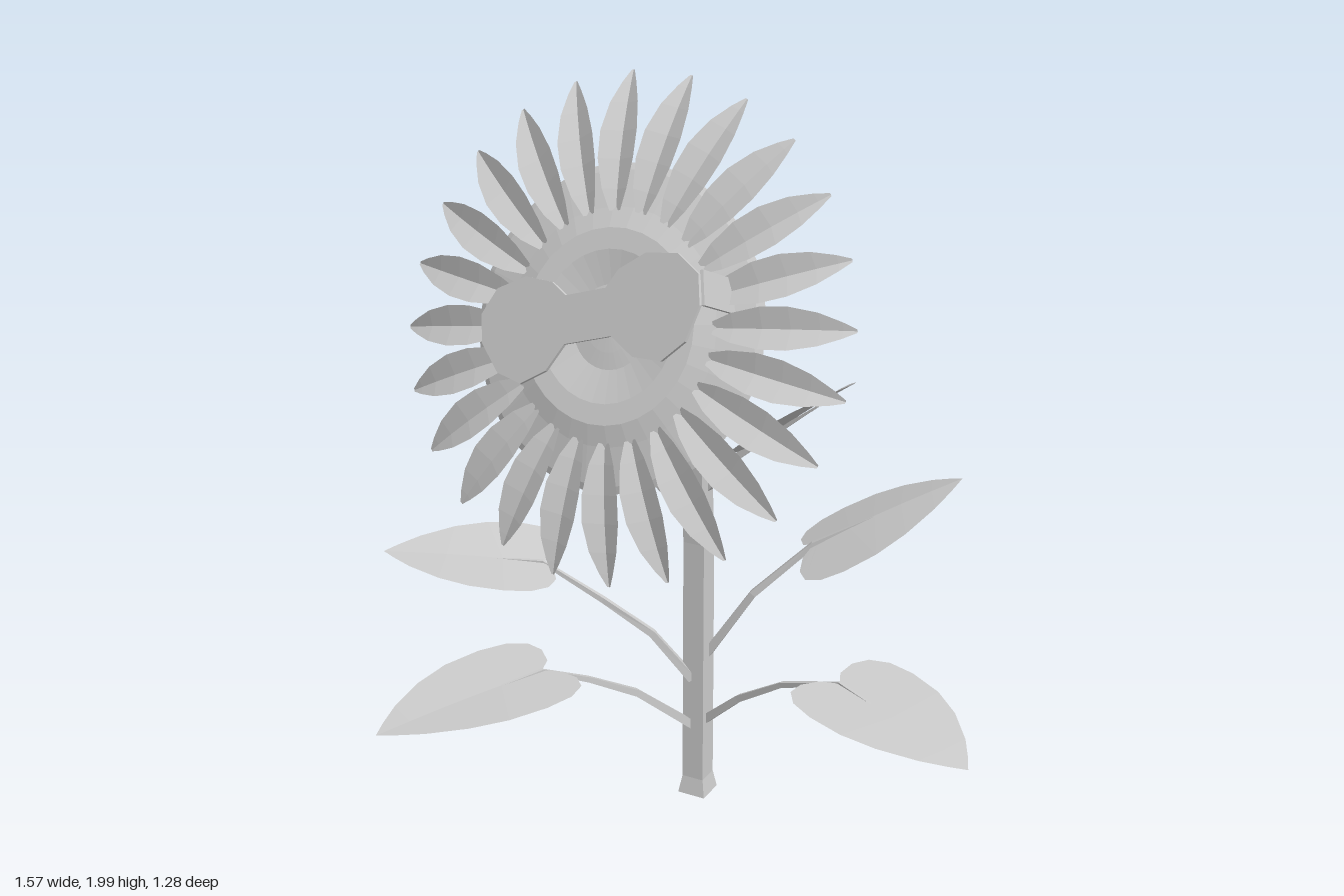
import * as THREE from 'three';

const V = (p) => new THREE.Vector3(...p);
const material = new THREE.MeshStandardMaterial({ color: 0xcccccc, flatShading: true, side: THREE.DoubleSide });

function mesh(name, geometry) {
  const m = new THREE.Mesh(geometry, material);
  m.name = name;
  return m;
}

function indexed(positions, index) {
  const g = new THREE.BufferGeometry();
  g.setAttribute('position', new THREE.Float32BufferAttribute(positions, 3));
  g.setIndex(index);
  g.computeVertexNormals();
  return g;
}

// Faceted stalk: rings of `sides` corners swept along points, with a radius per point
function stalk(points, radii, sides, ref, turn) {
  const pts = points.map(V), pos = [], idx = [];
  pts.forEach((p, i) => {
    const a = pts[Math.max(i - 1, 0)], b = pts[Math.min(i + 1, pts.length - 1)];
    const t = b.clone().sub(a).normalize();
    const s = t.clone().cross(ref).normalize(), n = s.clone().cross(t);
    for (let k = 0; k < sides; k++) {
      const ang = turn + (k / sides) * Math.PI * 2;
      const q = p.clone().addScaledVector(s, Math.cos(ang) * radii[i]).addScaledVector(n, Math.sin(ang) * radii[i]);
      pos.push(q.x, q.y, q.z);
      if (i) {
        const c = i * sides + k, d = i * sides + ((k + 1) % sides);
        idx.push(c - sides, d - sides, d, c - sides, d, c);
      }
    }
  });
  const last = (pts.length - 1) * sides;
  for (let k = 1; k < sides - 1; k++) idx.push(0, k + 1, k, last, last + k, last + k + 1);
  return indexed(pos, idx);
}

// Folded blade along +y; each row is [midrib y, edge y, edge half width], all 0..1
function blade(rows, length, half, lift, bend) {
  const pos = [], idx = [];
  rows.forEach(([m, e, w], i) => {
    pos.push(0, m * length, bend(m), w * half, e * length, bend(e) + w * lift, -w * half, e * length, bend(e) + w * lift);
    if (!i) return;
    const c = i * 3, p = c - 3;
    idx.push(p, p + 1, c + 1, p, c + 1, c, p, c + 2, p + 2, p, c, c + 2);
  });
  return indexed(pos, idx);
}

const heartRows = [[0, 0, 0], [0.01, -0.08, 0.2], [0.02, -0.11, 0.5], [0.04, -0.08, 0.76], [0.1, 0.02, 0.94],
  [0.25, 0.18, 1], [0.42, 0.4, 0.95], [0.6, 0.6, 0.77], [0.8, 0.8, 0.46], [0.92, 0.92, 0.2], [1, 1, 0]];
const petalRows = [[0, 0, 0.3], [0.15, 0.15, 0.68], [0.36, 0.36, 0.97], [0.56, 0.56, 1], [0.76, 0.76, 0.76],
  [0.91, 0.91, 0.38], [1, 1, 0.08]];

// Leaf stalk paths (last point joins the leaf), leaf tips, half widths, roll about the midrib and edge lift
const leaves = [
  { path: [[-0.15, 0.76, -0.29], [-0.22, 0.84, -0.29], [-0.29, 0.9, -0.265]], tip: [-0.6, 1.055, -0.11], half: 0.125, roll: 0.35, lift: 0.012 },
  { path: [[-0.13, 0.42, -0.32], [-0.01, 0.62, -0.36], [0.12, 0.775, -0.44]], tip: [0.43, 0.99, -0.635], half: 0.135, roll: 0.24, lift: -0.025 },
  { path: [[-0.15, 0.35, -0.28], [-0.22, 0.49, -0.2], [-0.31, 0.59, -0.11], [-0.45, 0.68, -0.03]], tip: [-0.785, 0.69, 0.225], half: 0.15, roll: -0.18, lift: 0.01 },
  { path: [[-0.155, 0.21, -0.28], [-0.19, 0.36, -0.11], [-0.215, 0.45, 0.04], [-0.24, 0.52, 0.18]], tip: [-0.35, 0.48, 0.63], half: 0.175, roll: 0, lift: 0.008 },
  { path: [[-0.13, 0.22, -0.31], [-0.01, 0.33, -0.31], [0.14, 0.43, -0.305], [0.34, 0.515, -0.29]], tip: [0.78, 0.475, -0.23], half: 0.175, roll: 0, lift: 0.008 },
  { path: [[-0.13, 0.9, -0.31], [-0.05, 1.0, -0.32], [0.04, 1.075, -0.335]], tip: [0.305, 1.29, -0.355], half: 0.137, roll: 0, lift: 0.012 },
];

function makeLeaf({ path, tip, half, roll, lift }) {
  const g = new THREE.Group();
  g.name = 'leaf';
  const base = V(path[path.length - 1]), axis = V(tip).sub(base), length = axis.length();
  axis.normalize();
  const side = axis.clone().cross(new THREE.Vector3(0, 1, 0)).normalize().applyAxisAngle(axis, roll);
  const normal = side.clone().cross(axis);
  const b = mesh('leafBlade', blade(heartRows, length, half, lift, (t) => 0.005 * Math.sin(Math.PI * t)));
  b.quaternion.setFromRotationMatrix(new THREE.Matrix4().makeBasis(side, axis, normal));
  b.position.copy(base);
  // The stalk thins out into a midrib under the blade
  const rib = base.clone().addScaledVector(axis, length * 0.7).toArray();
  const radii = path.map((_, i) => 0.016 - 0.003 * i).concat(0.002);
  g.add(b, mesh('leafStalk', stalk([...path, rib], radii, 4, new THREE.Vector3(0, 1, 0), Math.PI / 4)));
  return g;
}

function makeGlasses() {
  const g = new THREE.Group();
  g.name = 'glasses';
  // Half outline from the top of the bridge round one lens to its underside, then mirrored
  const half = [[0.06, 0.068], [0.1, 0.105], [0.18, 0.13], [0.27, 0.115], [0.325, 0.06], [0.325, -0.01],
    [0.28, -0.085], [0.21, -0.12], [0.13, -0.1], [0.07, -0.045]];
  const outline = [...half, ...half.map(([x, y]) => [-x, y]).reverse()];
  const shape = new THREE.Shape(outline.map(([x, y]) => new THREE.Vector2(x, y)));
  g.add(mesh('lenses', new THREE.ExtrudeGeometry(shape, { depth: 0.008, bevelEnabled: false })));
  for (const [s, length] of [[-1, 0.14], [1, 0.235]]) {
    const arm = mesh('glassesArm', new THREE.BoxGeometry(0.008, 0.08, length));
    arm.position.set(s * 0.31, 0.03, -length / 2);
    arm.rotation.y = s * 0.15;
    g.add(arm);
  }
  // Worn askew: tipped up and swung forward on one side
  g.position.set(-0.01, 0.005, 0.128);
  g.rotation.set(0, -0.16, 0.3);
  return g;
}

function makeHead() {
  const head = new THREE.Group();
  head.name = 'flowerHead';
  // Seed disc: domed back, shallow front with a dimple
  const profile = [[0, -0.128], [0.09, -0.122], [0.19, -0.097], [0.28, -0.063], [0.35, -0.024], [0.388, 0.012],
    [0.37, 0.022], [0.28, 0.045], [0.23, 0.062], [0.18, 0.062], [0.1, 0.045], [0.06, 0.05], [0, 0.055]];
  const disc = mesh('seedDisc', new THREE.LatheGeometry(profile.map(([r, h]) => new THREE.Vector2(r, h)), 32));
  disc.rotation.x = Math.PI / 2;
  head.add(disc);
  // Ring of petals, each folded along its middle
  const petal = blade(petalRows, 0.335, 0.049, 0.022, (t) => 0.045 - 0.05 * t * t).translate(0, 0.27, 0);
  for (let i = 0; i < 24; i++) {
    const p = mesh('petal', petal);
    p.rotation.z = -0.09 - (i / 24) * Math.PI * 2;
    head.add(p);
  }
  head.add(makeGlasses());
  head.lookAt(0.185, 0.37, 0.91);
  head.position.set(-0.083, 1.435, 0.048);
  return head;
}

export function createModel() {
  const model = new THREE.Group();
  model.name = 'sunflower';
  // Square main stem, flared at the foot and bent forward into the head
  model.add(mesh('stem', stalk(
    [[-0.147, 0, -0.302], [-0.147, 0.05, -0.302], [-0.147, 0.75, -0.3], [-0.144, 1.08, -0.28], [-0.135, 1.24, -0.22], [-0.11, 1.37, -0.03]],
    [0.055, 0.043, 0.042, 0.042, 0.043, 0.043], 4, new THREE.Vector3(1, 0, 0), Math.PI / 4 - 0.27)));
  const foliage = new THREE.Group();
  foliage.name = 'leaves';
  leaves.forEach((l) => foliage.add(makeLeaf(l)));
  model.add(foliage, makeHead());
  return model;
}
